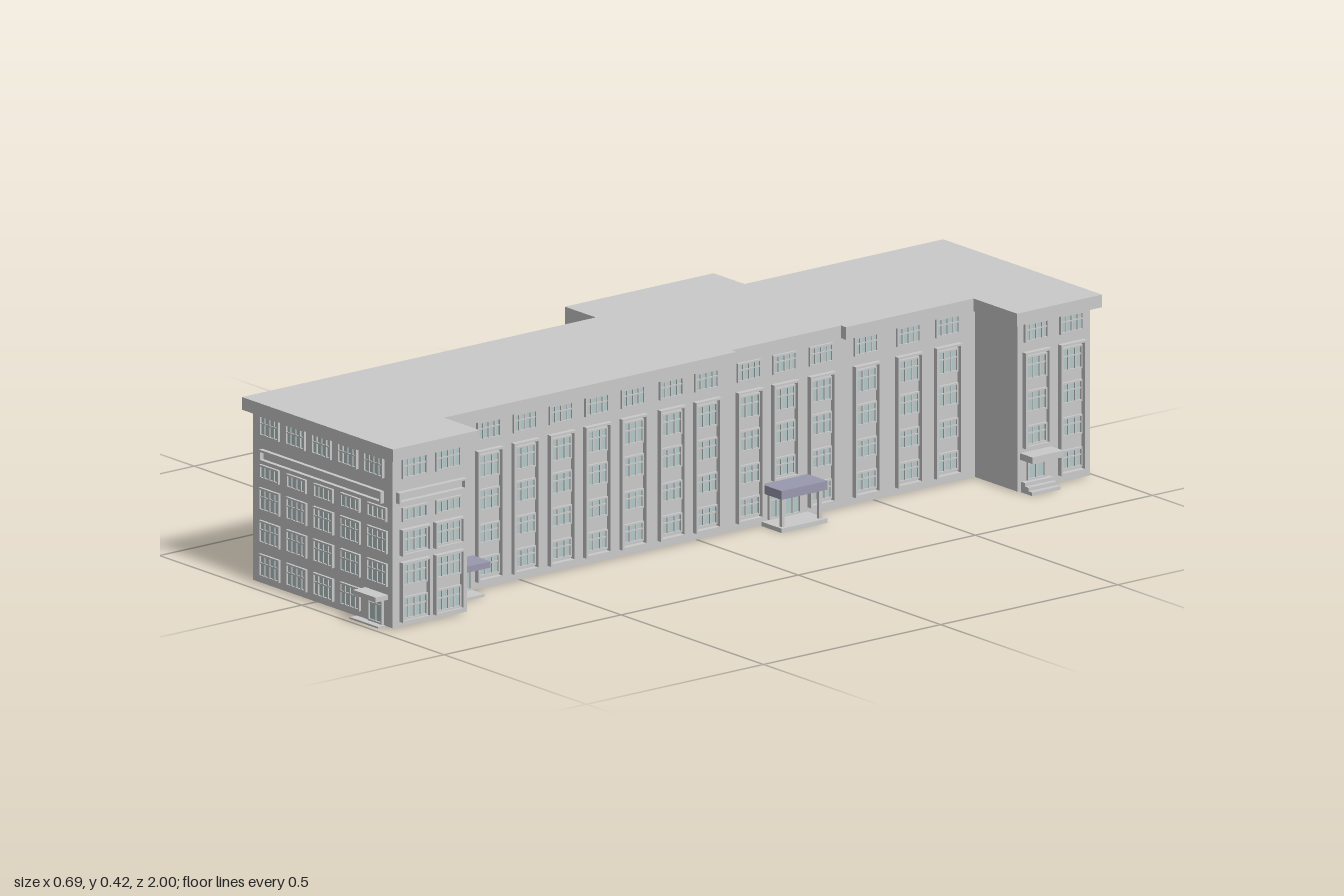
import * as THREE from 'three';
import { mergeGeometries } from 'three/addons/utils/BufferGeometryUtils.js';

const WALL = new THREE.MeshStandardMaterial({ color: 0xcccccc });
const GLASS = new THREE.MeshStandardMaterial({ color: 0xb4c8c8 });
const CANOPY = new THREE.MeshStandardMaterial({ color: 0x9a9ab0 });

// Box given by its extents
function block(x0, x1, y0, y1, z0, z1) {
  return new THREE.BoxGeometry(x1 - x0, y1 - y0, z1 - z0)
    .translate((x0 + x1) / 2, (y0 + y1) / 2, (z0 + z1) / 2);
}

// Upright prism over a plan outline of [x, z] corners
function prism(plan, y0, y1) {
  const shape = new THREE.Shape(plan.map(([x, z]) => new THREE.Vector2(x, -z)));
  return new THREE.ExtrudeGeometry(shape, { depth: y1 - y0, bevelEnabled: false })
    .rotateX(-Math.PI / 2).translate(0, y0, 0);
}

// One elevation: u runs along the wall, y up, z outwards
class Facade {
  constructor(name, angle, x, z) {
    this.group = new THREE.Group();
    this.group.name = name;
    this.group.rotation.y = angle;
    this.group.position.set(x, 0, z);
    this.trim = [];
    this.glass = [];
  }
  // Rectangular surround made of four bars
  border(u0, u1, y0, y1, t, d) {
    this.trim.push(
      block(u0, u0 + t, y0, y1, 0, d), block(u1 - t, u1, y0, y1, 0, d),
      block(u0 + t, u1 - t, y0, y0 + t, 0, d), block(u0 + t, u1 - t, y1 - t, y1, 0, d));
  }
  // Glazed window with mullions and a transom
  window(u, y0, y1, w = 0.068, cols = 4, transom = 0.62) {
    const u0 = u - w / 2, u1 = u + w / 2, t = 0.004, d = 0.006;
    this.glass.push(block(u0 + t, u1 - t, y0 + t, y1 - t, 0, 0.002));
    this.border(u0, u1, y0, y1, t, d);
    for (let i = 1; i < cols; i++) {
      const c = u0 + (w * i) / cols;
      this.trim.push(block(c - 0.002, c + 0.002, y0 + t, y1 - t, 0, 0.005));
    }
    if (transom) {
      const y = y0 + (y1 - y0) * transom;
      this.trim.push(block(u0 + t, u1 - t, y - 0.0015, y + 0.0015, 0, 0.005));
    }
  }
  // Tall framed bay with stacked windows, and a separate window above
  bay(u, bottom = 0.02) {
    this.border(u - 0.036, u + 0.036, bottom, 0.32, 0.005, 0.012);
    for (const [y0, y1] of [[0.03, 0.075], [0.105, 0.15], [0.18, 0.23], [0.255, 0.31]])
      if (y0 > bottom) this.window(u, y0, y1, 0.058, 3);
    this.window(u, 0.342, 0.386, 0.066, 4);
  }
  build() {
    for (const [name, list, mat] of [['windowFrames', this.trim, WALL], ['windowGlass', this.glass, GLASS]]) {
      if (!list.length) continue;
      const mesh = new THREE.Mesh(mergeGeometries(list), mat);
      mesh.name = name;
      this.group.add(mesh);
    }
    return this.group;
  }
}

export function createModel() {
  const model = new THREE.Group();
  const add = (name, geometry, material = WALL) => {
    const mesh = new THREE.Mesh(geometry, material);
    mesh.name = name;
    model.add(mesh);
  };

  // Main masses
  add('walls', prism([[-0.215, 0.965], [0.275, 0.965], [0.275, 0.755], [0.15, 0.755],
    [0.15, -0.78], [0.30, -0.78], [0.30, -0.985], [-0.215, -0.985]], 0.003, 0.4));
  add('cornice', prism([[-0.235, 0.98], [0.295, 0.98], [0.295, 0.735], [0.17, 0.735],
    [0.17, -0.09], [0.153, -0.09], [0.153, -0.40], [0.17, -0.40], [0.17, -0.76],
    [0.323, -0.76], [0.323, -1], [-0.235, -1]], 0.391, 0.42));
  add('rearBlock', block(-0.345, -0.2, 0.003, 0.4195, -0.44, -0.02));

  // Front elevation: five storeys of windows and a long framed panel
  const rows = [[0.018, 0.07], [0.095, 0.147], [0.17, 0.222], [0.243, 0.275], [0.341, 0.389]];
  const front = new Facade('frontFacade', 0, 0, 0.965);
  rows.forEach(([y0, y1], r) => {
    for (let i = 0; i < 5; i++) {
      if (r === 0 && i === 4) continue;
      const top = r > 2;
      front.window(-0.153 + i * (r === 4 ? 0.0915 : 0.0945), y0, y1, top ? 0.067 : 0.07, 4, r === 3 ? 0 : 0.6);
    }
  });
  front.border(-0.182, 0.245, 0.283, 0.311, 0.005, 0.01);
  front.window(0.22, 0.005, 0.058, 0.05, 2, 0.8);
  model.add(front.build());

  // Side of the front wing
  const wing = new Facade('frontWingSide', Math.PI / 2, 0.275, 0);
  for (const u of [-0.905, -0.81]) {
    rows.forEach(([y0, y1], r) => wing.window(u, y0, y1, 0.07, 4, r === 3 ? 0 : 0.6));
    wing.border(u - 0.04, u + 0.04, 0.014, 0.151, 0.004, 0.012);
    wing.border(u - 0.04, u + 0.04, 0.166, 0.226, 0.004, 0.012);
  }
  wing.border(-0.955, -0.765, 0.288, 0.313, 0.004, 0.012);
  model.add(wing.build());

  // Long courtyard elevation, with shorter bays over the entrances
  const court = new Facade('courtyardFacade', Math.PI / 2, 0.15, 0);
  for (const z of [0.7, 0.595, 0.493, 0.391, 0.29, 0.188, 0.08, -0.02, -0.14, -0.24, -0.343, -0.47, -0.59, -0.7])
    court.bay(-z, z === 0.7 || z === -0.24 ? 0.1 : 0.02);
  court.window(-0.69, 0.005, 0.07, 0.09, 4, 0.75);
  court.window(0.24, 0.012, 0.07, 0.09, 4, 0.75);
  model.add(court.build());

  // Side of the back wing
  const backWing = new Facade('backWingSide', Math.PI / 2, 0.3, 0);
  backWing.bay(0.83, 0.1);
  backWing.bay(0.93);
  backWing.window(0.83, 0.025, 0.07, 0.05, 2, 0.8);
  model.add(backWing.build());

  // Back end
  const end = new Facade('backFacade', Math.PI, 0, -0.985);
  for (const x of [-0.14, -0.013, 0.115, 0.242]) end.bay(-x);
  model.add(end.build());

  // Long rear elevation on both sides of the rear block
  const rear = new Facade('rearFacade', -Math.PI / 2, -0.215, 0);
  for (const z of [-0.93, -0.825, -0.715, -0.605, -0.495]) rear.bay(z);
  for (let i = 0; i < 9; i++) rear.bay(0.07 + i * 0.1045);
  model.add(rear.build());

  // Main entrance: canopy, posts and platform
  add('mainCanopy', block(0.15, 0.22, 0.076, 0.096, -0.308, -0.178), CANOPY);
  add('mainPlatform', block(0.15, 0.22, 0, 0.01, -0.308, -0.178));
  for (const z of [-0.295, -0.19])
    add('mainCanopyPost', block(0.203, 0.211, 0.01, 0.076, z - 0.004, z + 0.004));

  // Corner entrance beside the front wing
  add('cornerCanopy', block(0.15, 0.212, 0.068, 0.082, 0.637, 0.755), CANOPY);
  add('cornerStep', block(0.15, 0.2, 0, 0.006, 0.645, 0.75));

  // Back wing entrance: canopy and three steps
  add('backWingCanopy', block(0.3, 0.343, 0.075, 0.09, -0.875, -0.787));
  [0.338, 0.326, 0.314].forEach((x, i) =>
    add('backWingStep', block(0.3, x, i * 0.008, i * 0.008 + 0.008, -0.87, -0.79)));

  // Front entrance: canopy and low step
  add('frontCanopy', block(0.18, 0.26, 0.065, 0.076, 0.965, 1));
  add('frontStep', block(0.15, 0.25, 0, 0.004, 0.965, 0.985));

  return model;
}
